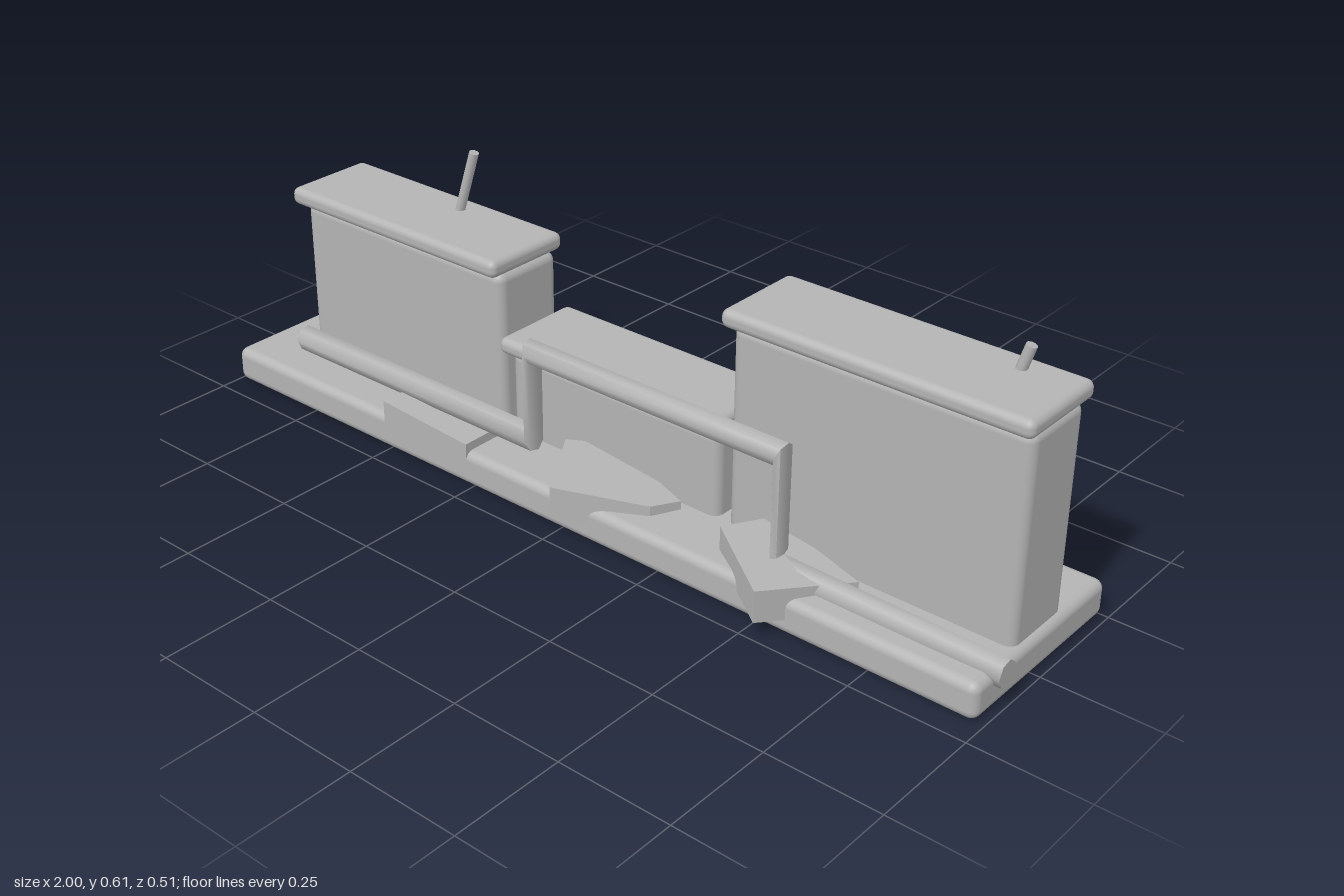
import * as THREE from 'three';
import { toCreasedNormals } from 'three/addons/utils/BufferGeometryUtils.js';
import { RoundedBoxGeometry } from 'three/addons/geometries/RoundedBoxGeometry.js';
import { ConvexGeometry } from 'three/addons/geometries/ConvexGeometry.js';

export function createModel() {
  const grey = new THREE.MeshStandardMaterial({ color: 0xb4b4b4 });
  grey.name = 'plain grey';
  const model = new THREE.Group();

  const add = (name, geometry) => {
    const mesh = new THREE.Mesh(geometry, grey);
    mesh.name = name;
    model.add(mesh);
    return mesh;
  };

  // Rounded box given by its limits on each axis
  const block = (name, [x0, x1], [y0, y1], [z0, z1], radius) =>
    add(name, new RoundedBoxGeometry(x1 - x0, y1 - y0, z1 - z0, 3, radius))
      .position.set((x0 + x1) / 2, (y0 + y1) / 2, (z0 + z1) / 2);

  // Thin round rod between two points
  const rod = (name, from, to, radius) => {
    const a = new THREE.Vector3(...from), b = new THREE.Vector3(...to);
    const dir = b.clone().sub(a);
    const mesh = add(name, new THREE.CylinderGeometry(radius, radius, dir.length(), 10));
    mesh.position.copy(a).add(b).multiplyScalar(0.5);
    mesh.quaternion.setFromUnitVectors(new THREE.Vector3(0, 1, 0), dir.normalize());
  };

  // Slab with a plan outline in x, z and a top that slopes down towards +x
  const rock = (name, outline, topAtZero, slope) => {
    const points = [];
    for (const [x, z] of outline) {
      const top = topAtZero - slope * x;
      points.push(new THREE.Vector3(x, top, z), new THREE.Vector3(x, top - 0.07, z));
    }
    add(name, new ConvexGeometry(points));
  };

  // Seven-sided pipe; each ring has a centre (x, y) and a half-width (vx, vy)
  const pipe = (name, rings, z, radius) => {
    const sides = 7, pos = [], index = [];
    for (const [x, y, vx, vy] of rings) {
      for (let j = 0; j < sides; j++) {
        const a = Math.PI / 2 + (j / sides) * Math.PI * 2;
        pos.push(x + vx * Math.cos(a), y + vy * Math.cos(a), z + radius * Math.sin(a));
      }
    }
    const last = (rings.length - 1) * sides;
    for (let i = 0; i < rings.length - 1; i++) {
      for (let j = 0; j < sides; j++) {
        const a = i * sides + j, b = i * sides + (j + 1) % sides;
        index.push(a, b, a + sides, b, b + sides, a + sides);
      }
    }
    for (let j = 1; j < sides - 1; j++) {
      index.push(0, j + 1, j, last, last + j, last + j + 1);
    }
    const g = new THREE.BufferGeometry();
    g.setAttribute('position', new THREE.Float32BufferAttribute(pos, 3));
    g.setIndex(index);
    add(name, toCreasedNormals(g, 1.1));
  };

  // Base slab
  block('base', [-1, 0.985], [0, 0.08], [-0.255, 0.2], 0.02);

  // Three blocks with overhanging lids
  const towers = [
    ['left', [-0.885, -0.285], [-0.9, -0.278], 0.43, 0.47],
    ['middle', [-0.26, 0.295], [-0.27, 0.3], 0.268, 0.305],
    ['right', [0.32, 0.97], [0.31, 0.98], 0.518, 0.557],
  ];
  for (const [side, body, lid, lidBottom, lidTop] of towers) {
    block(side + 'Block', body, [0.05, lidBottom], [-0.115, 0.06], 0.022);
    block(side + 'Lid', lid, [lidBottom, lidTop], [-0.127, 0.088], 0.016);
  }

  // Leaning rods on the outer lids
  rod('leftRod', [-0.532, 0.455, -0.07], [-0.49, 0.608, -0.081], 0.011);
  rod('rightRod', [0.852, 0.53, -0.071], [0.873, 0.606, -0.077], 0.011);

  // Stepped pipe along the front
  pipe('pipe', [
    [-0.84, 0.131, 0, 0.029],
    [-0.138, 0.131, -0.009, 0.028],
    [-0.138, 0.332, -0.009, 0.025],
    [0.495, 0.332, 0.01, 0.025],
    [0.495, 0.087, 0.01, 0.028],
    [1, 0.077, 0, 0.029],
  ], 0.125, 0.028);

  // Tilted stones at the foot of the blocks
  rock('leftStone', [[-0.51, 0.07], [-0.51, 0.2], [-0.262, 0.2], [-0.262, 0.07]], 0.084, 0.06);
  rock('middleStone', [[-0.085, 0.085], [0.01, 0.237], [0.19, 0.14], [0.22, 0.08], [0, 0.02]], 0.121, 0.1);
  rock('rightStone', [[0.37, 0.145], [0.535, 0.252], [0.65, 0.08], [0.42, 0.04]], 0.183, 0.136);

  return model;
}
